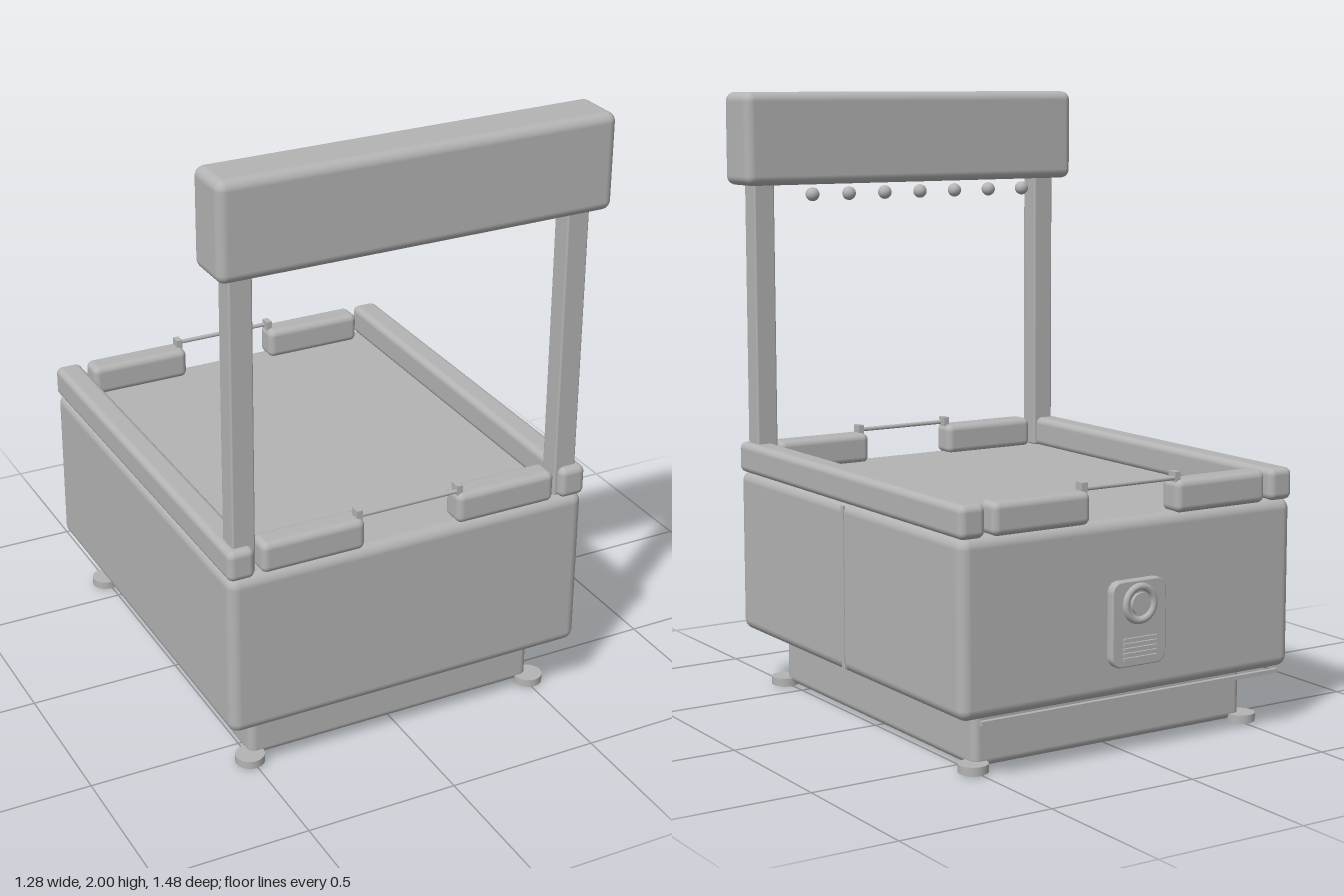
import * as THREE from 'three';
import { RoundedBoxGeometry } from 'three/addons/geometries/RoundedBoxGeometry.js';

export function createModel() {
  const group = new THREE.Group();
  const grey = new THREE.MeshStandardMaterial({ color: 0xb4b4b4 });
  grey.name = 'plain grey';

  const add = (name, geometry, x = 0, y = 0, z = 0) => {
    const mesh = new THREE.Mesh(geometry, grey);
    mesh.name = name;
    mesh.position.set(x, y, z);
    group.add(mesh);
    return mesh;
  };
  // Box given by its extents on each axis; a radius rounds its edges
  const box = (name, [x0, x1], [y0, y1], [z0, z1], r = 0) => {
    const size = [x1 - x0, y1 - y0, z1 - z0];
    const geometry = r ? new RoundedBoxGeometry(...size, 4, r) : new THREE.BoxGeometry(...size);
    return add(name, geometry, (x0 + x1) / 2, (y0 + y1) / 2, (z0 + z1) / 2);
  };

  // Cart body and plinth
  box('body', [-0.615, 0.615], [0.19, 0.735], [-0.705, 0.71], 0.035);
  box('base', [-0.505, 0.505], [0.01, 0.185], [-0.595, 0.6], 0.025);
  box('backTrim', [-0.555, 0.555], [0.18, 0.193], [-0.72, -0.705]);

  // Seam strip on one side of the body
  box('sideSeam', [0.61, 0.617], [0.2, 0.725], [-0.013, 0.005]);
  box('bottomSeam', [0.5, 0.59], [0.188, 0.193], [-0.013, 0.005]);

  // Levelling feet
  for (const x of [-0.507, 0.507]) {
    for (const z of [-0.595, 0.603]) {
      add('foot', new THREE.CylinderGeometry(0.047, 0.047, 0.026, 24), x, 0.017, z);
      add('footPad', new THREE.CylinderGeometry(0.04, 0.04, 0.008, 24), x, 0.004, z);
    }
  }

  // Side rails and sign posts
  for (const s of [-1, 1]) {
    const span = (a, b) => (s > 0 ? [a, b] : [-b, -a]);
    box('sideRail', span(0.528, 0.617), [0.73, 0.832], [-0.705, 0.712], 0.022);
    box('signPost', span(0.518, 0.592), [0.735, 1.72], [0.613, 0.685], 0.006);
  }

  // Counter pads at both ends, each pair joined by a rod on two pegs
  for (const e of [-1, 1]) {
    const span = (a, b) => (e > 0 ? [a, b] : [-b, -a]);
    for (const s of [-1, 1]) {
      const x = s > 0 ? [0.16, 0.505] : [-0.505, -0.16];
      box('counterPad', x, [0.73, 0.832], span(0.62, 0.708), 0.022);
      box('rodPeg', [s * 0.173 - 0.01, s * 0.173 + 0.01], [0.825, 0.857], span(0.655, 0.69));
    }
    const rod = add('rod', new THREE.CylinderGeometry(0.007, 0.007, 0.35, 10), 0, 0.838, e * 0.683);
    rod.rotation.z = Math.PI / 2;
  }

  // Overhead sign in two layers
  box('signFront', [-0.642, 0.642], [1.695, 2.0], [0.56, 0.735], 0.03);

  // Row of bulbs under the sign
  for (let i = -3; i <= 3; i++) {
    add('bulb', new THREE.SphereGeometry(0.023, 20, 14), i * 0.138, 1.665, 0.542);
  }

  // Control panel on the back: rounded plate, dial and grille
  const w = 0.1, h = 0.133, r = 0.035;
  const plate = new THREE.Shape();
  plate.moveTo(-w + r, -h);
  plate.lineTo(w - r, -h);
  plate.absarc(w - r, -h + r, r, -Math.PI / 2, 0);
  plate.absarc(w - r, h - r, r, 0, Math.PI / 2);
  plate.absarc(-w + r, h - r, r, Math.PI / 2, Math.PI);
  plate.absarc(-w + r, -h + r, r, Math.PI, Math.PI * 1.5);
  add('controlPanel', new THREE.ExtrudeGeometry(plate, {
    depth: 0.02, bevelThickness: 0.006, bevelSize: 0.004, bevelOffset: -0.004, bevelSegments: 2, curveSegments: 8,
  }), 0, 0.418, -0.728);

  add('dialRing', new THREE.TorusGeometry(0.052, 0.012, 10, 32), 0, 0.478, -0.734);
  const dial = add('dial', new THREE.CylinderGeometry(0.034, 0.034, 0.014, 24), 0, 0.478, -0.737);
  dial.rotation.x = Math.PI / 2;
  for (let i = 0; i < 5; i++) {
    const y = 0.308 + i * 0.015;
    box('grilleSlat', [-0.062, 0.062], [y, y + 0.008], [-0.742, -0.73]);
  }

  return group;
}
